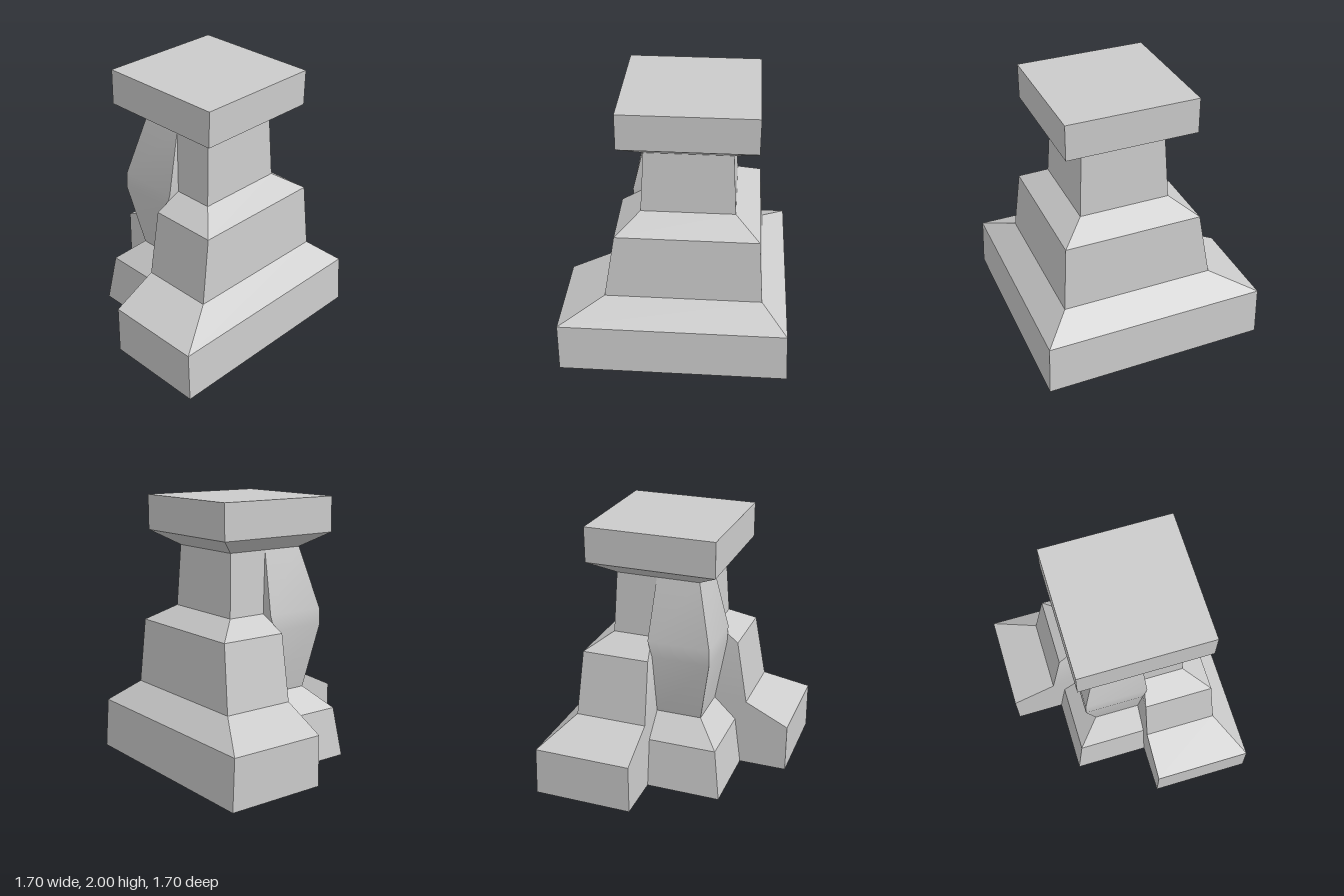
import * as THREE from 'three';
import { toCreasedNormals } from 'three/addons/utils/BufferGeometryUtils.js';

// Lofts stacked outlines; each ring is { y, pts: [[x, z], ...] }, counter-clockwise from above.
function loft(name, rings, material) {
  const pos = [];
  const idx = [];
  const n = rings[0].pts.length;
  for (const { y, pts } of rings) for (const [x, z] of pts) pos.push(x, y, z);
  for (let k = 0; k < rings.length - 1; k++) {
    for (let i = 0; i < n; i++) {
      const a = k * n + i, b = k * n + (i + 1) % n;
      idx.push(a, b, b + n, a, b + n, a + n);
    }
  }
  // End caps, fanned from the first corner
  const top = (rings.length - 1) * n;
  for (let i = 1; i < n - 1; i++) {
    idx.push(0, i + 1, i);
    idx.push(top, top + i, top + i + 1);
  }
  const geo = new THREE.BufferGeometry();
  geo.setAttribute('position', new THREE.Float32BufferAttribute(pos, 3));
  geo.setIndex(idx);
  const mesh = new THREE.Mesh(toCreasedNormals(geo, 0.5), material);
  mesh.name = name;
  return mesh;
}

// L outline: o = outer faces, e = arm ends, i = inner corner
const lShape = (o, e, i) => [[i, -i], [i, e], [o, e], [o, -o], [-e, -o], [-e, -i]];
// Square outline on the same diagonal: c = inner side, r = outer side
const square = (c, r) => [[-c, -r], [-c, c], [r, c], [r, -r]];

export function createModel() {
  const group = new THREE.Group();
  const material = new THREE.MeshStandardMaterial({ color: 0xcccccc });

  // Stepped corner wall: plinth, body and neck in two arms
  const wall = [
    [0, 0.848, 0.85, 0.09],
    [0.38, 0.83, 0.85, 0.09],
    [0.545, 0.64, 0.515, 0.09],
    [1.04, 0.605, 0.435, 0.09],
    [1.16, 0.425, 0.26, 0.125],
    [1.625, 0.4, 0.235, 0.09],
  ].map(([y, o, e, i]) => ({ y, pts: lShape(o, e, i) }));
  group.add(loft('cornerWall', wall, material));

  // Bulging pillar filling the inner corner
  const pillar = [
    [0, 0.48, 0.09],
    [0.38, 0.43, 0.09],
    [0.545, 0.26, 0.09],
    [1.04, 0.35, 0.09],
    [1.16, 0.347, 0.125],
    [1.625, 0.235, 0.09],
  ].map(([y, c, r]) => ({ y, pts: square(c, r) }));
  group.add(loft('innerPillar', pillar, material));

  // Flared capital block
  const capital = [
    [1.625, 0.235, 0.4],
    [1.735, 0.403, 0.572],
    [2, 0.403, 0.572],
  ].map(([y, c, r]) => ({ y, pts: square(c, r) }));
  group.add(loft('capital', capital, material));

  return group;
}
